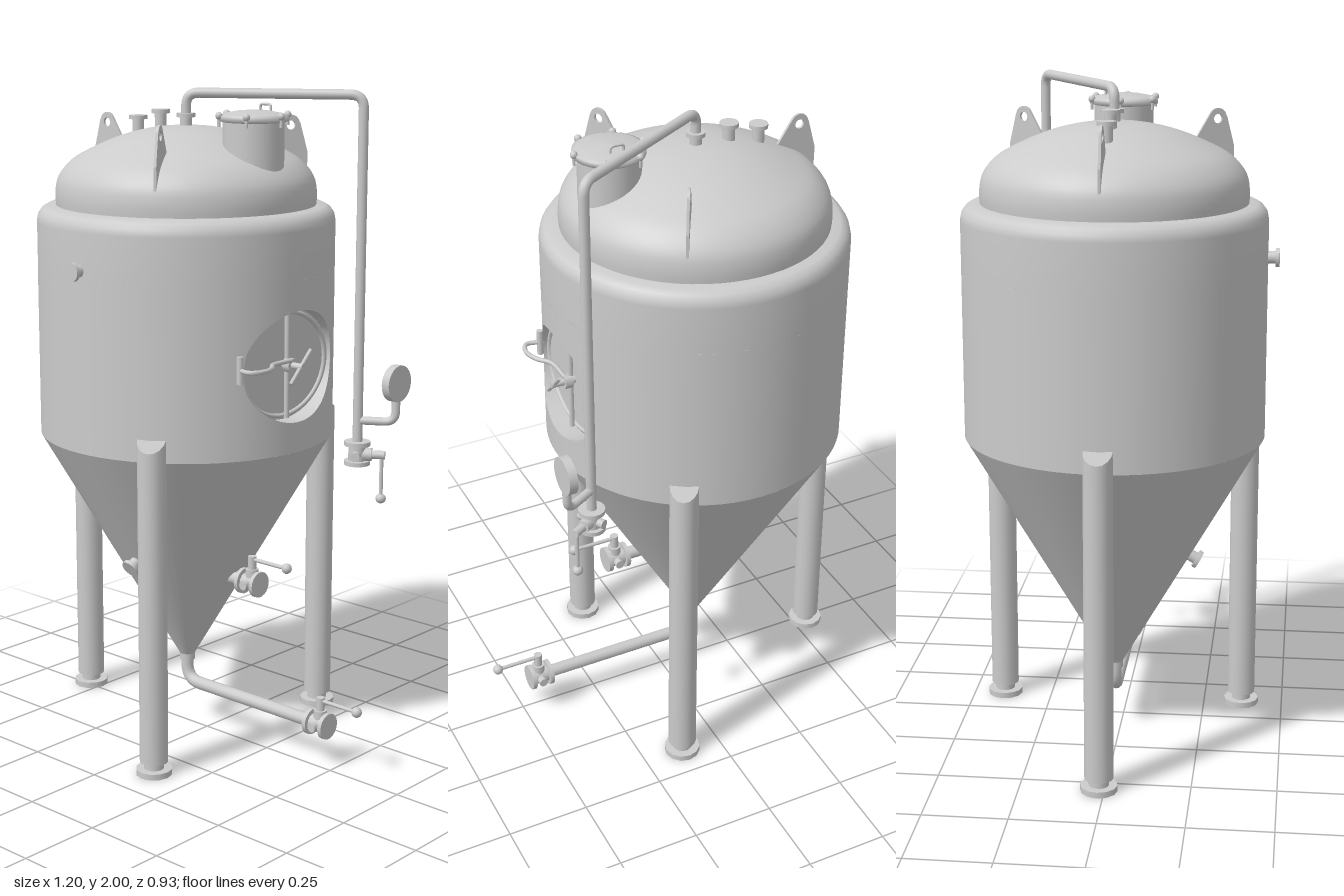
import * as THREE from 'three';
import { ParametricGeometry } from 'three/addons/geometries/ParametricGeometry.js';

const mat = new THREE.MeshStandardMaterial({ color: 0xcccccc, side: THREE.DoubleSide });
const V = (x, y, z) => new THREE.Vector3(x, y, z);
const P = (a) => a.map(([x, y]) => new THREE.Vector2(x, y));

function add(parent, name, geo) {
  const m = new THREE.Mesh(geo, mat);
  m.name = name;
  parent.add(m);
  return m;
}
function group(parent, name) {
  const g = new THREE.Group();
  g.name = name;
  parent.add(g);
  return g;
}
// Straight cylinder between two points
function rod(parent, name, a, b, r, sides = 14) {
  const m = add(parent, name, new THREE.CylinderGeometry(r, r, a.distanceTo(b), sides));
  m.position.copy(a).lerp(b, 0.5);
  m.quaternion.setFromUnitVectors(V(0, 1, 0), b.clone().sub(a).normalize());
  return m;
}
function ball(parent, name, p, r) {
  add(parent, name, new THREE.SphereGeometry(r, 12, 8)).position.copy(p);
}
// Tube through corner points with rounded bends
function pipe(parent, name, pts, r, bend, segs) {
  const path = new THREE.CurvePath();
  let from = pts[0];
  for (let i = 1; i < pts.length - 1; i++) {
    const c = pts[i];
    const a = c.clone().add(pts[i - 1].clone().sub(c).setLength(bend));
    const b = c.clone().add(pts[i + 1].clone().sub(c).setLength(bend));
    path.add(new THREE.LineCurve3(from, a));
    path.add(new THREE.QuadraticBezierCurve3(a, c, b));
    from = b;
  }
  path.add(new THREE.LineCurve3(from, pts[pts.length - 1]));
  return add(parent, name, new THREE.TubeGeometry(path, segs, r, 12));
}
// Short pipe with a flange, pointing along dir
function nozzle(parent, name, base, dir, length) {
  const g = group(parent, name);
  const at = (t) => base.clone().addScaledVector(dir, t);
  rod(g, 'neck', at(0), at(length), 0.018);
  rod(g, 'flange', at(length - 0.012), at(length), 0.028);
}
// Valve with its flow along +x, stem along +y and a ball-ended lever
function valve(parent, name) {
  const g = group(parent, name);
  rod(g, 'body', V(-0.035, 0, 0), V(0.03, 0, 0), 0.027);
  for (const x of [-0.035, 0.025]) rod(g, 'flange', V(x - 0.005, 0, 0), V(x + 0.008, 0, 0), 0.04, 18);
  rod(g, 'boss', V(0, 0, 0), V(0, 0.045, 0), 0.02);
  rod(g, 'crossPin', V(0, 0, -0.044), V(0, 0, 0.044), 0.014);
  rod(g, 'stem', V(0, 0.04, 0), V(0, 0.085, 0), 0.013);
  rod(g, 'lever', V(0, 0.075, 0), V(0.135, 0.075, 0), 0.006, 10);
  ball(g, 'leverBall', V(0.137, 0.075, 0), 0.016);
  return g;
}

// Wall with an oval opening, the recess behind it and the door
function sideManway(tank) {
  const R = 0.45, cy = 1.215, half = 0.255, spread = 0.6, rz = 0.2, ry = 0.165, depth = 0.39;
  const edge = (u) => {
    const a = u * Math.PI * 2;
    return [Math.asin(rz * Math.cos(a) / R), cy + ry * Math.sin(a)];
  };
  const onWall = (th, y, t) => t.set(R * Math.cos(th), y, -R * Math.sin(th));
  add(tank, 'wallAroundManway', new ParametricGeometry((u, v, t) => {
    const c = Math.cos(u * Math.PI * 2), s = Math.sin(u * Math.PI * 2);
    const m = Math.max(Math.abs(c), Math.abs(s)), [th, y] = edge(u);
    onWall(THREE.MathUtils.lerp(spread * c / m, th, v), THREE.MathUtils.lerp(cy + half * s / m, y, v), t);
  }, 64, 8));
  const g = group(tank, 'sideManway');
  add(g, 'recess', new ParametricGeometry((u, v, t) => {
    onWall(...edge(u), t);
    t.x = THREE.MathUtils.lerp(t.x, depth, v);
  }, 64, 1));
  const door = add(g, 'door', new THREE.CircleGeometry(1, 48));
  door.rotation.y = Math.PI / 2;
  door.scale.set(rz, ry, 1);
  door.position.set(depth, cy, 0);
  const rim = add(g, 'doorRim', new THREE.TorusGeometry(0.185, 0.008, 8, 48));
  rim.rotation.y = Math.PI / 2;
  rim.scale.y = 0.83;
  rim.position.set(depth, cy, 0);
  rod(g, 'crossbar', V(0.402, cy - 0.16, 0), V(0.402, cy + 0.16, 0), 0.008, 8);
  rod(g, 'screw', V(depth, cy, 0), V(0.465, cy, 0), 0.01);
  rod(g, 'screwNut', V(0.4, cy, 0), V(0.425, cy, 0), 0.022, 6);
  rod(g, 'wingHandle', V(0.455, cy - 0.045, 0.045), V(0.455, cy + 0.045, -0.045), 0.006, 8);
  const arm = new THREE.CatmullRomCurve3([V(0.42, 1.23, 0), V(0.425, 1.23, 0.09), V(0.455, 1.23, 0.13),
    V(0.468, 1.23, 0.18), V(0.45, 1.23, 0.22), V(0.4, 1.23, 0.212)]);
  add(g, 'hingeArm', new THREE.TubeGeometry(arm, 32, 0.007, 8));
  rod(g, 'hingePin', V(0.408, 1.19, 0.214), V(0.408, 1.27, 0.214), 0.01, 10);
}

export function createModel() {
  const model = new THREE.Group();
  const tank = group(model, 'tank');
  tank.position.set(-0.1, 0, -0.016);

  // Shell: cone, wall, shoulder and dome
  add(tank, 'cone', new THREE.LatheGeometry(P([[0.02, 0.215], [0.45, 0.96]]), 64));
  add(tank, 'wall', new THREE.LatheGeometry(P([[0.45, 0.96], [0.45, 1.47]]), 56,
    Math.PI / 2 + 0.6, Math.PI * 2 - 1.2));
  add(tank, 'shoulder', new THREE.LatheGeometry(P([[0.45, 1.47], [0.45, 1.61], [0.446, 1.63],
    [0.435, 1.646], [0.418, 1.655], [0.385, 1.658]]), 64));
  const dome = new THREE.SplineCurve(P([[0.392, 1.655], [0.393, 1.695], [0.383, 1.74], [0.35, 1.782],
    [0.3, 1.814], [0.2, 1.857], [0.1, 1.882], [0, 1.89]])).getPoints(24);
  dome[24].x = 0;
  add(tank, 'dome', new THREE.LatheGeometry(dome, 64));
  sideManway(tank);

  // Legs and lifting lugs, three around the axis
  const lugShape = new THREE.Shape(P([[0.26, 1.77], [0.385, 1.7], [0.387, 1.8], [0.362, 1.89]]));
  lugShape.absarc(0.333, 1.885, 0.028, 0.2, Math.PI - 0.5, false);
  lugShape.lineTo(0.26, 1.825);
  lugShape.holes.push(new THREE.Path().absarc(0.333, 1.882, 0.014, 0, Math.PI * 2, true));
  for (const angle of [Math.PI, Math.PI / 3, -Math.PI / 3]) {
    const leg = group(tank, 'leg');
    leg.rotation.y = angle;
    const geo = new THREE.CylinderGeometry(0.043, 0.043, 0.99, 16);
    const pos = geo.attributes.position;
    for (let i = 0; i < pos.count; i++) {
      if (pos.getY(i) > 0) pos.setY(i, pos.getY(i) - Math.max(0, pos.getX(i)) * 0.8);
    }
    add(leg, 'post', geo).position.set(0.445, 0.535, 0);
    rod(leg, 'footStem', V(0.445, 0.01, 0), V(0.445, 0.045, 0), 0.03);
    rod(leg, 'footPad', V(0.445, 0, 0), V(0.445, 0.018, 0), 0.055, 12);
    const lug = add(leg, 'liftingLug', new THREE.ExtrudeGeometry(lugShape,
      { depth: 0.008, bevelEnabled: false, curveSegments: 10 }));
    lug.position.z = -0.004;
  }

  // Ports on the dome, wall and cone
  nozzle(tank, 'topPort', V(-0.2, 1.84, 0), V(0, 1, 0), 0.07);
  nozzle(tank, 'topPort', V(-0.105, 1.86, 0), V(0, 1, 0), 0.072);
  nozzle(tank, 'ventPort', V(0, 1.87, 0), V(0, 1, 0), 0.055);
  nozzle(tank, 'wallPort', V(0, 1.5, 0.43), V(0, 0, 1), 0.053);
  nozzle(tank, 'conePort', V(0, 0.585, 0.215), V(0, -0.5, 0.866), 0.05);

  // Top manway with bolted lid
  const hatch = group(tank, 'topManway');
  hatch.position.x = 0.267;
  rod(hatch, 'neck', V(0, 1.72, 0), V(0, 1.915, 0), 0.09, 32);
  add(hatch, 'lid', new THREE.LatheGeometry(P([[0.09, 1.912], [0.103, 1.915], [0.103, 1.93],
    [0.09, 1.935], [0.05, 1.943], [0, 1.946]]), 32));
  for (let i = 0; i < 6; i++) {
    const a = i * Math.PI / 3, x = 0.105 * Math.cos(a), z = 0.105 * Math.sin(a);
    rod(hatch, 'bolt', V(x, 1.9, z), V(x, 1.93, z), 0.005, 8);
    ball(hatch, 'boltKnob', V(x, 1.931, z), 0.011);
  }
  pipe(hatch, 'lidHandle', [V(-0.02, 1.93, -0.053), V(-0.02, 1.96, -0.053), V(0.02, 1.96, -0.053),
    V(0.02, 1.93, -0.053)], 0.004, 0.01, 24);

  // Vent line, laid out along +x and swung to its angle
  const vent = group(tank, 'ventLine');
  vent.rotation.y = Math.PI / 6;
  pipe(vent, 'ventPipe', [V(0, 1.9, 0), V(0, 1.985, 0), V(0.533, 1.985, 0), V(0.533, 0.92, 0)], 0.015, 0.04, 180);
  pipe(vent, 'gaugePipe', [V(0.533, 1.01, 0), V(0.648, 1.01, 0), V(0.648, 1.09, 0)], 0.013, 0.035, 32);
  const ventValve = valve(vent, 'ventValve');
  ventValve.position.set(0.533, 0.905, 0);
  // Flow points down, stem points outward
  ventValve.quaternion.setFromRotationMatrix(new THREE.Matrix4().makeBasis(V(0, -1, 0), V(1, 0, 0), V(0, 0, 1)));
  const gauge = group(tank, 'pressureGauge');
  gauge.position.set(0.561, 1.13, -0.324);
  rod(gauge, 'case', V(-0.013, 0, 0), V(0.013, 0, 0), 0.056, 28);

  // Bottom outlet and cone draw-off
  rod(tank, 'outletCollar', V(0, 0.2, 0), V(0, 0.222, 0), 0.024);
  pipe(tank, 'outletPipe', [V(0, 0.22, 0), V(0, 0.13, 0), V(0.52, 0.13, 0)], 0.02, 0.055, 60);
  valve(tank, 'outletValve').position.set(0.547, 0.13, 0);
  rod(tank, 'drawOffPipe', V(0.15, 0.515, 0), V(0.25, 0.515, 0), 0.02);
  valve(tank, 'drawOffValve').position.set(0.272, 0.515, 0);
  return model;
}
